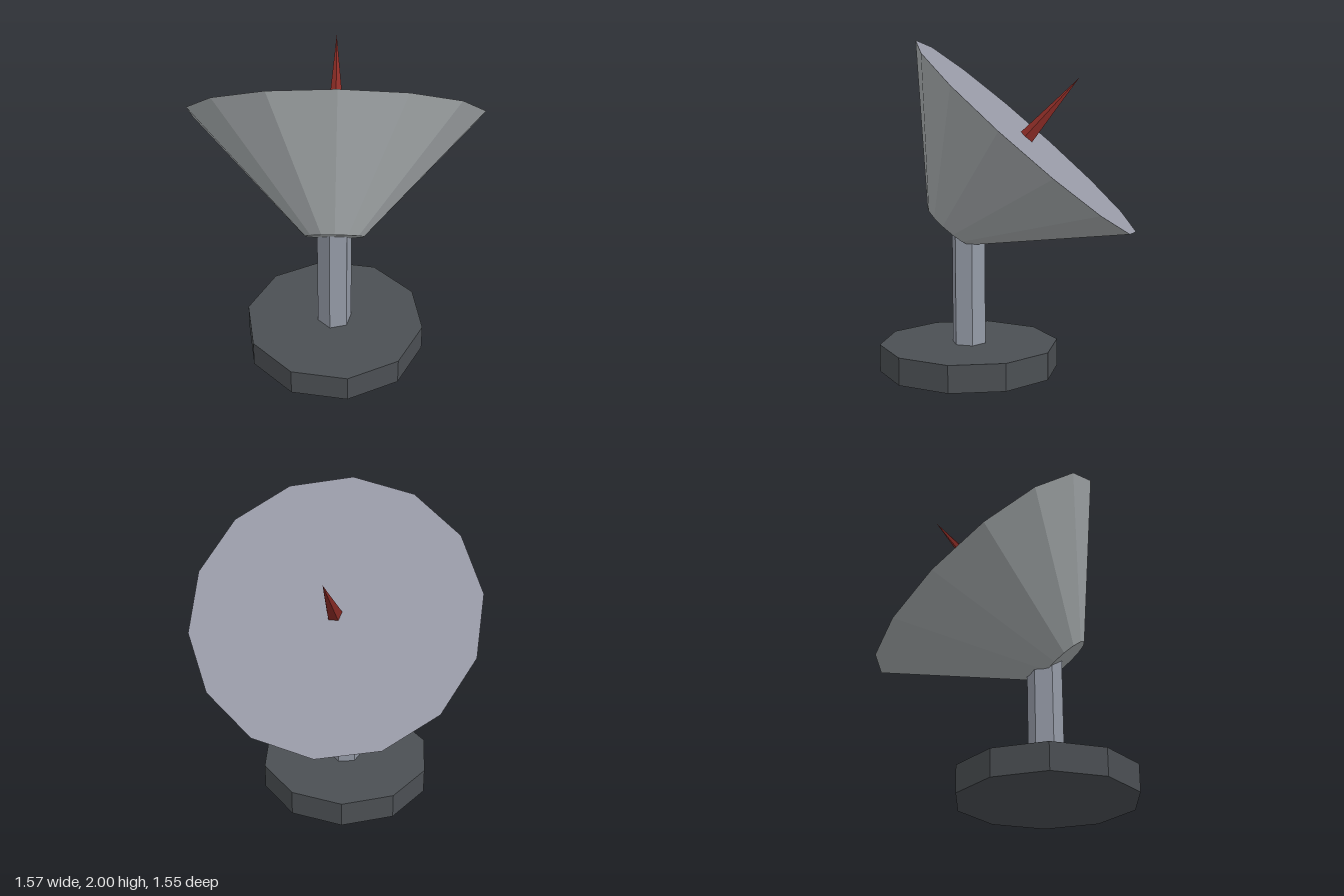
import * as THREE from 'three';

function material(name, color) {
  const m = new THREE.MeshStandardMaterial({ color, flatShading: true });
  m.name = name;
  return m;
}

export function createModel() {
  const model = new THREE.Group();
  model.name = 'dishAntenna';

  const baseGrey = material('dark base grey', 0x4b4f53);
  const poleGrey = material('pole blue grey', 0x959ba7);
  const dishGrey = material('dish shell grey', 0xa6abad);
  const faceGrey = material('dish face lilac grey', 0x999ba8);
  const red = material('feed red', 0x8a2b25);

  function add(parent, name, geometry, mat, x, y, z) {
    const mesh = new THREE.Mesh(geometry, mat);
    mesh.name = name;
    mesh.position.set(x, y, z);
    parent.add(mesh);
    return mesh;
  }

  // Ten-sided foot and six-sided pole, both with a corner on the x axis
  const footX = 0.24, footZ = 0.253;
  add(model, 'base', new THREE.CylinderGeometry(0.545, 0.545, 0.167, 10, 1, false, Math.PI / 2),
    baseGrey, footX, 0.0835, footZ);
  add(model, 'pole', new THREE.CylinderGeometry(0.105, 0.105, 0.74, 6, 1, false, Math.PI / 2),
    poleGrey, footX, 0.53, footZ);

  // Tilted head: local y is the dish axis, local z points to its highest rim corner
  const head = new THREE.Group();
  head.name = 'dishHead';
  const axis = new THREE.Vector3(-0.465, 0.754, -0.465).normalize();
  const rim = new THREE.Vector3(0.48, 0.575, 0.45);
  const side = new THREE.Vector3().crossVectors(axis, rim).normalize();
  rim.crossVectors(side, axis);
  head.quaternion.setFromRotationMatrix(new THREE.Matrix4().makeBasis(side, axis, rim));
  head.position.set(-0.01, 1.427, 0);
  model.add(head);

  // Fourteen-sided conical dish with a flat closed face
  const depth = 0.715;
  add(head, 'dish', new THREE.CylinderGeometry(0.875, 0.175, depth, 14),
    [dishGrey, faceGrey, dishGrey], 0, -depth / 2, 0);

  // Pointed feed in the middle of the face
  const feed = 0.47;
  add(head, 'feedSpike', new THREE.ConeGeometry(0.049, feed, 5), red, 0, feed / 2, 0);

  return model;
}
